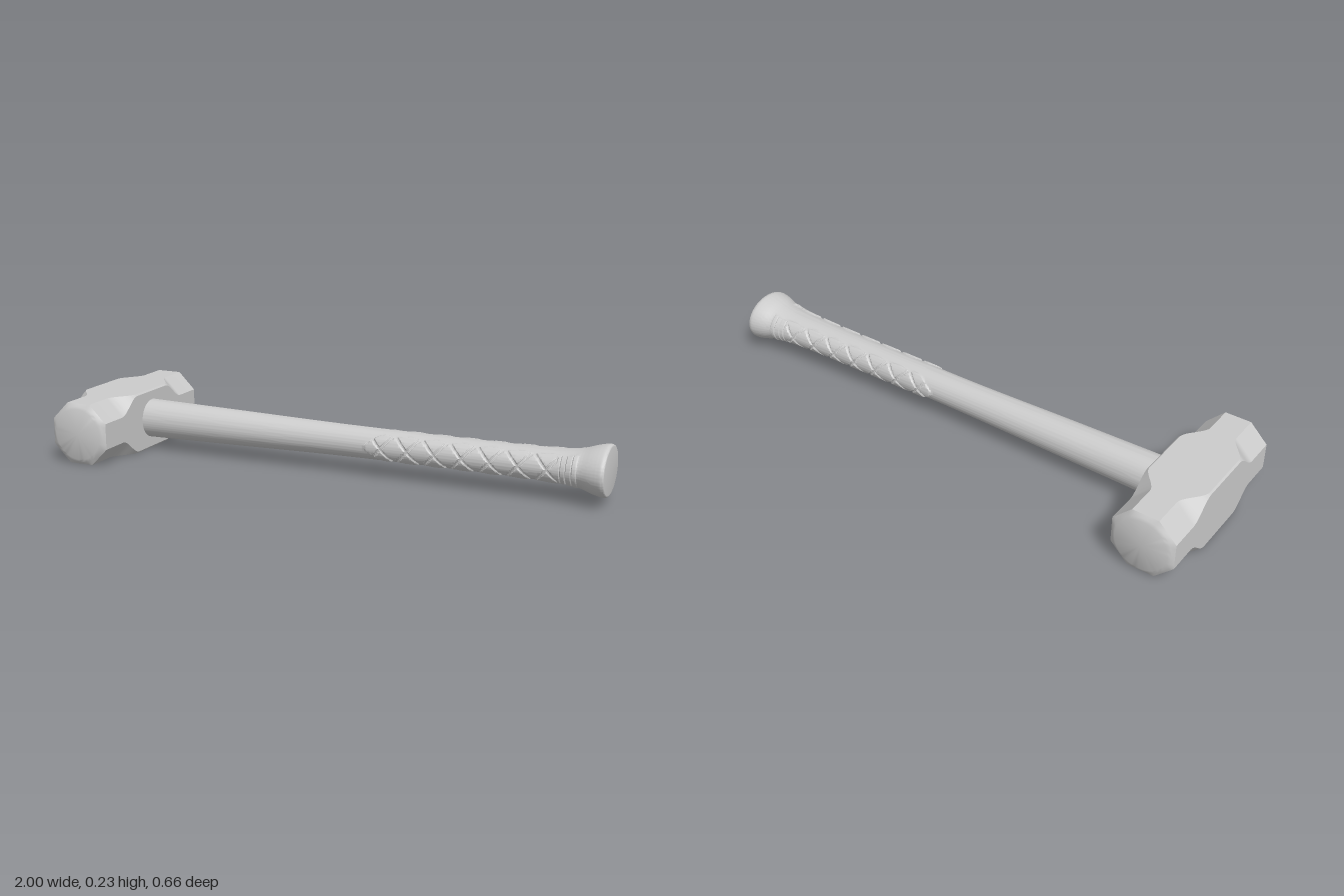
import * as THREE from 'three';
import { toCreasedNormals } from 'three/addons/utils/BufferGeometryUtils.js';

const { lerp, smoothstep } = THREE.MathUtils;

// Skins a row of equal-length closed rings and closes both ends with a fan.
function loft(rings, crease) {
  const n = rings[0].length, pts = [], index = [];
  const cap = (ring, flip) => {
    const c = ring.reduce((s, p) => s.add(p), new THREE.Vector3()).divideScalar(n);
    const base = pts.length;
    pts.push(c, ...ring);
    for (let j = 0; j < n; j++) {
      const a = base + 1 + j, b = base + 1 + (j + 1) % n;
      index.push(base, flip ? b : a, flip ? a : b);
    }
  };
  rings.forEach(r => pts.push(...r));
  for (let i = 0; i < rings.length - 1; i++) {
    for (let j = 0; j < n; j++) {
      const a = i * n + j, b = i * n + (j + 1) % n;
      index.push(a, b, b + n, a, b + n, a + n);
    }
  }
  cap(rings[0], true);
  cap(rings[rings.length - 1], false);
  const g = new THREE.BufferGeometry().setFromPoints(pts);
  g.setIndex(index);
  return toCreasedNormals(g, crease);
}

// Head: square block in the middle, octagonal toward both striking faces.
function headGeometry() {
  const h = 0.114, cx = -0.886, cy = 0.114, perSide = 6;
  // round: 0 keeps the octagon, 1 turns it into a circle of the given radius
  const ring = (z, round = 0, radius = 0) => {
    const a = lerp(0.108, 0.048, smoothstep(Math.abs(z), 0.1, 0.205));
    const corners = [[h, -a], [h, a], [a, h], [-a, h], [-h, a], [-h, -a], [-a, -h], [a, -h]];
    const out = [];
    corners.forEach((p, k) => {
      const q = corners[(k + 1) % 8];
      for (let s = 0; s < perSide; s++) {
        const x = lerp(p[0], q[0], s / perSide), y = lerp(p[1], q[1], s / perSide);
        const f = radius / Math.hypot(x, y);
        out.push(new THREE.Vector3(cx + lerp(x, x * f, round), cy + lerp(y, y * f, round), z));
      }
    });
    return out;
  };
  const rings = [ring(-0.328, 1, 0.095), ring(-0.323, 0.85, 0.103), ring(-0.314)];
  for (let z = -0.21; z < -0.095; z += 0.0075) rings.push(ring(z));
  for (let z = 0.0975; z < 0.215; z += 0.0075) rings.push(ring(z));
  rings.push(ring(0.314), ring(0.323, 0.85, 0.103), ring(0.328, 1, 0.095));
  return loft(rings, 0.5);
}

// Handle stations: x, half height, half depth, centre z
const stations = [
  [-0.82, 0.074, 0.071, 0], [-0.4, 0.066, 0.066, -0.002], [0, 0.058, 0.06, -0.005],
  [0.2, 0.056, 0.061, -0.006], [0.5, 0.055, 0.064, -0.008], [0.75, 0.056, 0.07, -0.009],
  [0.86, 0.06, 0.078, -0.01], [0.91, 0.068, 0.09, -0.011], [0.95, 0.081, 0.104, -0.011],
  [0.98, 0.088, 0.111, -0.011], [1, 0.089, 0.112, -0.011],
];
const profile = new THREE.CubicInterpolant(
  stations.map(s => s[0]), stations.flatMap(s => s.slice(1)), 3, new Float32Array(3));

// Raised grip panels on both sides, cut by crossing grooves, with ribs near the flare.
function gripRelief(x, angle) {
  if (x < 0.12 || x > 0.92) return 0;
  const fromSide = Math.asin(Math.cos(angle)); // 0 on the ±z sides
  const width = 0.98 * Math.sqrt(smoothstep(x, 0.125, 0.23)) + 0.05 * Math.cos(x * 62);
  const mask = smoothstep(width - Math.abs(fromSide), 0, 0.1)
    * smoothstep(x, 0.13, 0.15) * (1 - smoothstep(x, 0.895, 0.91));
  const groove = u => 1 - smoothstep(Math.abs(u - Math.round(u)), 0.03, 0.1);
  const cut = x < 0.835
    ? Math.max(groove((x + fromSide * 0.055) / 0.1), groove((x - fromSide * 0.055) / 0.1))
    : groove((x - 0.845) / 0.02);
  return mask * (0.006 - 0.005 * cut);
}

function handleGeometry() {
  const around = 96, rings = [];
  const ring = (x, inset = 0) => {
    const [hy, hz, cz] = Array.from(profile.evaluate(x));
    return Array.from({ length: around }, (_, j) => {
      const t = j / around * Math.PI * 2, r = gripRelief(x, t) - inset;
      return new THREE.Vector3(x, 0.116 + Math.cos(t) * (hy + r), cz + Math.sin(t) * (hz + r));
    });
  };
  for (let i = 0; i < 24; i++) rings.push(ring(lerp(-0.82, 0.12, i / 24)));
  for (let i = 0; i <= 260; i++) rings.push(ring(lerp(0.12, 0.92, i / 260)));
  for (let i = 1; i <= 12; i++) rings.push(ring(lerp(0.92, 0.99, i / 12)));
  // Rounded rim of the flared butt
  for (let i = 1; i <= 5; i++) {
    const t = i / 5 * Math.PI / 2;
    rings.push(ring(0.99 + 0.01 * Math.sin(t), 0.008 * (1 - Math.cos(t))));
  }
  return loft(rings, 0.6);
}

export function createModel() {
  const group = new THREE.Group();
  group.name = 'sledgehammer';
  const material = new THREE.MeshStandardMaterial({ color: 0xcccccc });
  const add = (name, geometry) => {
    const mesh = new THREE.Mesh(geometry, material);
    mesh.name = name;
    group.add(mesh);
  };
  add('head', headGeometry());
  add('handle', handleGeometry());
  return group;
}
